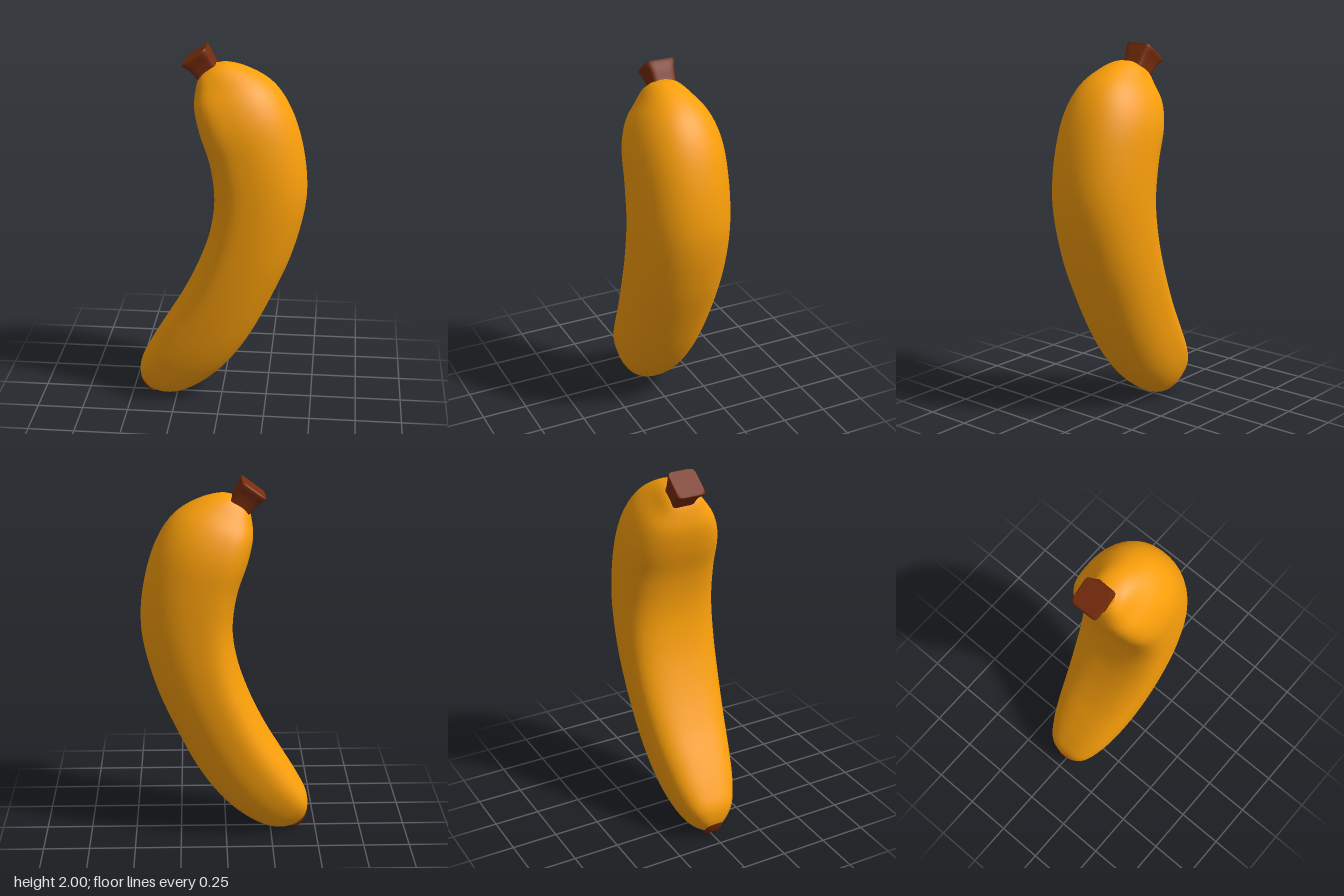
import * as THREE from 'three';

// Lofts rounded rings through sections [innerX, innerY, outerX, outerY, halfDepth].
// Each ring is two half superellipses (inner and outer) that meet at its widest line.
function loft(sections, { rings, sides, innerPower, outerPower, widest = 0, z = 0 }) {
  const curve = (f) => new THREE.CatmullRomCurve3(sections.map(f), false, 'centripetal');
  const inner = curve((s) => new THREE.Vector3(s[0], s[1], s[4]));
  const outer = curve((s) => new THREE.Vector3(s[2], s[3], s[4]));
  const pos = [], index = [];
  for (let i = 0; i <= rings; i++) {
    const a = inner.getPoint(i / rings), b = outer.getPoint(i / rings);
    const mx = (a.x + b.x) / 2, my = (a.y + b.y) / 2;
    for (let j = 0; j < sides; j++) {
      const t = (j / sides) * Math.PI * 2, c = Math.cos(t), s = Math.sin(t);
      const power = c < 0 ? innerPower : outerPower;
      const r = (Math.abs(c) ** power + Math.abs(s) ** power) ** (-1 / power);
      const u = widest + c * r * (c < 0 ? 1 + widest : 1 - widest);
      pos.push(mx + (b.x - mx) * u, my + (b.y - my) * u, z + a.z * s * r);
      if (i < rings) {
        const p = i * sides + j, q = i * sides + ((j + 1) % sides);
        index.push(p, p + sides, q, q, p + sides, q + sides);
      }
    }
  }
  // flat end caps with their own vertices so the rims stay crisp
  for (const end of [0, rings]) {
    const start = pos.length / 3;
    const a = inner.getPoint(end / rings), b = outer.getPoint(end / rings);
    for (let j = 0; j < sides; j++) {
      const k = (end * sides + j) * 3;
      pos.push(pos[k], pos[k + 1], pos[k + 2]);
    }
    pos.push((a.x + b.x) / 2, (a.y + b.y) / 2, z);
    for (let j = 0; j < sides; j++) {
      const p = start + j, q = start + ((j + 1) % sides);
      if (end) index.push(start + sides, q, p);
      else index.push(start + sides, p, q);
    }
  }
  const geo = new THREE.BufferGeometry();
  geo.setAttribute('position', new THREE.Float32BufferAttribute(pos, 3));
  geo.setIndex(index);
  geo.computeVertexNormals();
  return geo;
}

export function createModel() {
  const group = new THREE.Group();
  group.name = 'banana';
  const yellow = new THREE.MeshStandardMaterial({ color: 0xfa9f0a });
  const brown = new THREE.MeshStandardMaterial({ color: 0x782c0c });

  const add = (name, sections, options, material) => {
    const mesh = new THREE.Mesh(loft(sections, options), material);
    mesh.name = name;
    group.add(mesh);
  };

  // curved fruit with a broad inner face, from the lower tip up to the stem
  add('peel', [
    [-0.445, 0.08, -0.39, 0.015, 0.04],
    [-0.455, 0.13, -0.31, 0.002, 0.085],
    [-0.45, 0.2, -0.22, 0.02, 0.13],
    [-0.4, 0.3, -0.1, 0.09, 0.172],
    [-0.31, 0.45, 0.02, 0.2, 0.205],
    [-0.22, 0.6, 0.15, 0.38, 0.228],
    [-0.125, 0.8, 0.28, 0.64, 0.248],
    [-0.06, 1.0, 0.385, 0.9, 0.258],
    [-0.035, 1.2, 0.45, 1.2, 0.26],
    [-0.06, 1.4, 0.43, 1.45, 0.258],
    [-0.115, 1.57, 0.362, 1.67, 0.245],
    [-0.14, 1.69, 0.27, 1.807, 0.2],
    [-0.135, 1.77, 0.14, 1.888, 0.135],
    [-0.12, 1.83, 0.03, 1.916, 0.09],
    [-0.1, 1.86, -0.03, 1.91, 0.055],
  ], { rings: 70, sides: 48, innerPower: 2.9, outerPower: 2.2, widest: -0.25 }, yellow);

  // flared square stem, slightly off centre
  add('stem', [
    [-0.095, 1.795, -0.002, 1.867, 0.06],
    [-0.124, 1.826, -0.026, 1.9, 0.062],
    [-0.16, 1.868, -0.053, 1.951, 0.068],
    [-0.204, 1.9, -0.076, 1.99, 0.08],
    [-0.2, 1.912, -0.08, 2.0, 0.075],
  ], { rings: 16, sides: 40, innerPower: 8, outerPower: 8, z: -0.018 }, brown);

  // dark blossom end
  add('tip', [
    [-0.432, 0.037, -0.4, 0.01, 0.03],
    [-0.446, 0.065, -0.39, 0.007, 0.042],
    [-0.457, 0.1, -0.376, 0.006, 0.05],
  ], { rings: 6, sides: 24, innerPower: 3, outerPower: 3 }, brown);

  return group;
}
